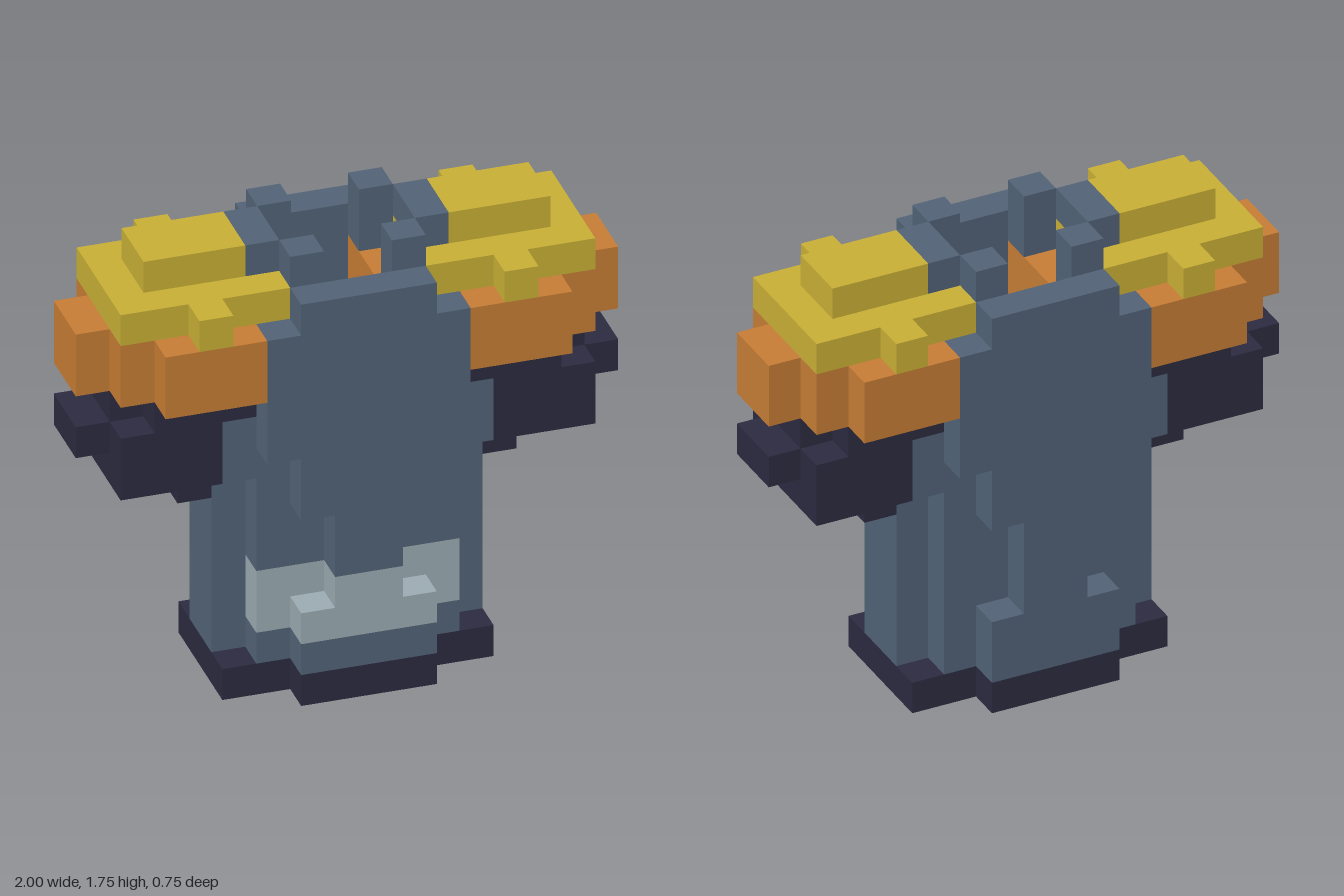
import * as THREE from 'three';

const mat = (name, color, extra = {}) => Object.assign(new THREE.MeshStandardMaterial({ color, ...extra }), { name });

export function createModel() {
  const slate = mat('slate cloth', 0x526377);
  const pale = mat('pale band', 0x9bacb3);
  const navy = mat('dark trim', 0x2c2b40);
  const orange = mat('orange shoulder', 0xc77d35);
  const yellow = mat('yellow cap', 0xc9b035);
  const black = mat('neck shadow', 0x222222);
  const model = new THREE.Group();
  model.name = 'blockyTunic';

  function box(name, material, x0, x1, y0, y1, z0, z1) {
    const mesh = new THREE.Mesh(new THREE.BoxGeometry(x1 - x0, y1 - y0, z1 - z0), material);
    mesh.position.set((x0 + x1) / 2, (y0 + y1) / 2, (z0 + z1) / 2);
    mesh.name = name;
    model.add(mesh);
  }
  // One box on each side of the body
  function pair(name, material, x0, x1, ...rest) {
    box(name + 'Left', material, x0, x1, ...rest);
    box(name + 'Right', material, -x1, -x0, ...rest);
  }

  // Front and back walls: x start (0 = full width), x end, y start, y end, z start, z end
  const walls = [
    [0, 0.25, 0.125, 0.375, 0.25, 0.375],
    [0, 0.125, 0.375, 0.75, 0.25, 0.375],
    [0, 0.25, 0.75, 1, 0.25, 0.375],
    [0, 0.375, 1, 1.5, 0.25, 0.375],
    [0, 0.25, 1.5, 1.625, 0.25, 0.375],
    [0.25, 0.375, 0.125, 0.375, 0.125, 0.25],
    [0.125, 0.375, 0.375, 0.75, 0.125, 0.25],
    [0.25, 0.375, 0.75, 1, 0.125, 0.25],
  ];
  for (const side of [1, -1]) {
    const label = side > 0 ? 'front' : 'back';
    for (const [x0, x1, y0, y1, za, zb] of walls) {
      const z = side > 0 ? [za, zb] : [-zb, -za];
      // Cut the front wall where the pale band crosses it
      const cuts = [y0, ...[0.25, 0.5].filter(c => side > 0 && c > y0 && c < y1), y1];
      for (let i = 0; i < cuts.length - 1; i++) {
        const mid = (cuts[i] + cuts[i + 1]) / 2;
        const band = side > 0 && mid > 0.25 && mid < 0.5;
        const args = [label + (band ? 'Band' : 'Wall'), band ? pale : slate];
        if (x0 === 0) box(...args, -x1, x1, cuts[i], cuts[i + 1], ...z);
        else pair(...args, x0, x1, cuts[i], cuts[i + 1], ...z);
      }
    }
    // Hem, collar posts and ridge ends of the shoulder caps
    const flip = (a, b) => (side > 0 ? [a, b] : [-b, -a]);
    box(label + 'Hem', navy, -0.25, 0.25, 0, 0.125, ...flip(0.25, 0.375));
    pair(label + 'HemCorner', navy, 0.25, 0.5, 0, 0.125, ...flip(0.125, 0.25));
    pair(label + 'CollarPost', slate, 0.125, 0.25, 1.5, 1.75, ...flip(0.125, 0.25));
    pair(label + 'CapTab', yellow, 0.5, 0.625, 1.5, 1.625, ...flip(0.25, 0.375));
    pair(label + 'ShoulderPlate', orange, 0.375, 0.75, 1.25, 1.5, ...flip(0.25, 0.375));
  }

  // Sides of the body
  pair('sideHem', navy, 0.375, 0.5, 0, 0.125, -0.125, 0.125);
  pair('sideWall', slate, 0.375, 0.5, 0.125, 0.875, -0.125, 0.125);
  pair('armpit', slate, 0.375, 0.5, 0.875, 1.125, -0.25, 0.25);

  // Sleeves
  pair('sleeveTop', navy, 0.375, 0.75, 1.125, 1.25, -0.25, 0.25);
  pair('sleeveTopEnd', navy, 0.75, 0.875, 1.125, 1.25, -0.125, 0.125);
  pair('sleeve', navy, 0.5, 0.875, 0.875, 1.125, -0.25, 0.25);
  pair('sleeveCuff', navy, 0.875, 1, 1, 1.125, -0.125, 0.125);
  pair('sleeveUnderside', navy, 0.5, 0.625, 0.75, 0.875, -0.125, 0.125);

  // Shoulders and their caps
  pair('shoulder', orange, 0.125, 0.875, 1.25, 1.5, -0.25, 0.25);
  pair('shoulderEnd', orange, 0.875, 1, 1.25, 1.5, -0.125, 0.125);
  pair('cap', yellow, 0.25, 0.875, 1.5, 1.625, -0.25, 0.25);
  pair('capRidge', yellow, 0.375, 0.75, 1.625, 1.75, -0.125, 0.125);
  pair('collarSide', slate, 0.25, 0.375, 1.625, 1.75, -0.125, 0.125);

  // Dark floor of the neck opening, facing up
  const neck = new THREE.Mesh(new THREE.PlaneGeometry(0.25, 0.5).rotateX(-Math.PI / 2), black);
  neck.position.y = 1.27;
  neck.name = 'neckOpening';
  model.add(neck);
  return model;
}
